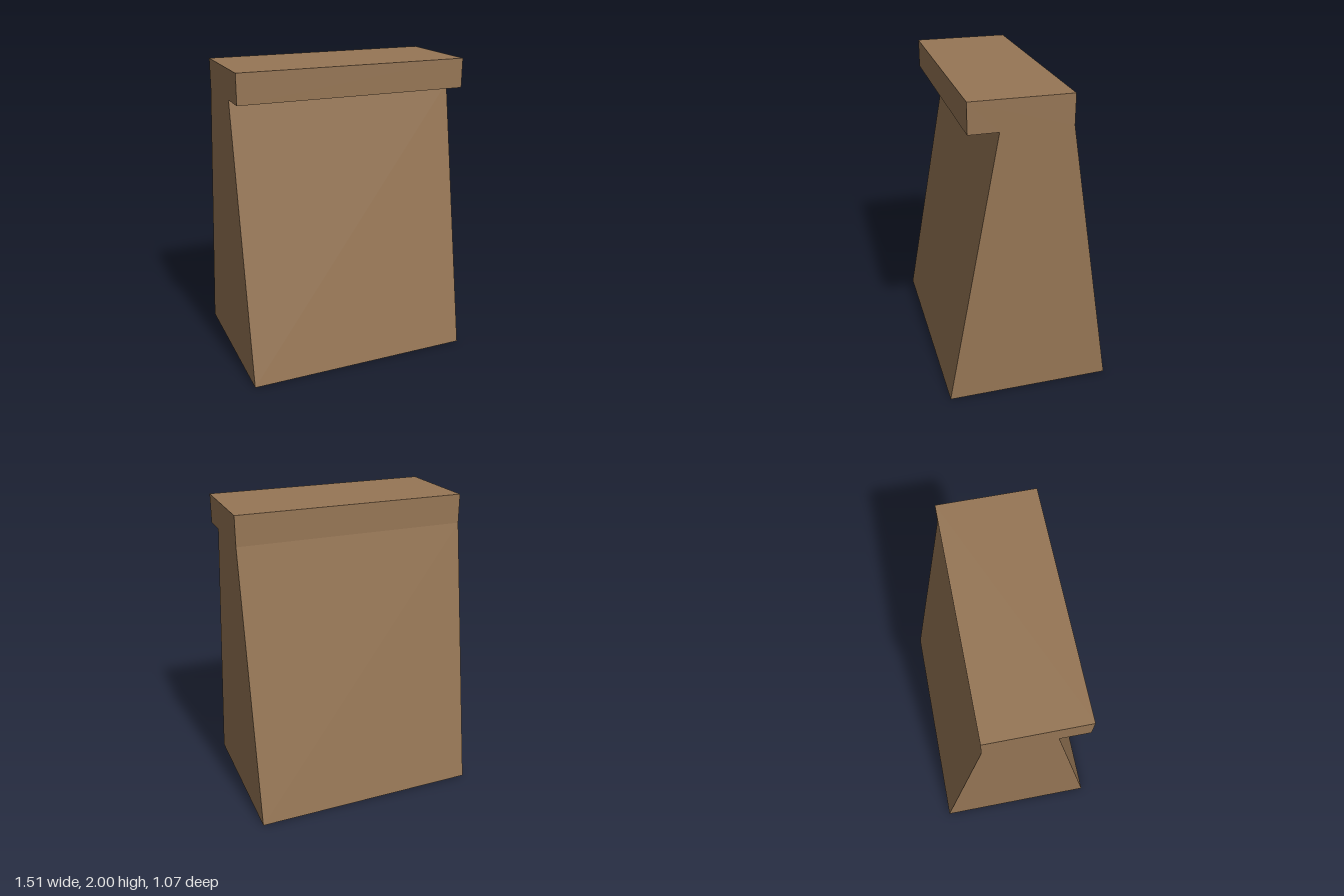
import * as THREE from 'three';

const HALF_WIDTH = 0.755;

// Side profile as [z, y], from the front hem over the folded top to the back hem
const PROFILE = [
  [0.535, 0], [0.205, 1.81], [0.39, 1.81], [0.39, 2],
  [-0.24, 2], [-0.24, 1.81], [-0.535, 0],
];
const PANEL_NAMES = ['frontPanel', 'foldUnderside', 'foldFront', 'topPanel', 'backUpperPanel', 'backPanel'];

// Flat panel spanning the full width between two profile points
function panelGeometry([z0, y0], [z1, y1]) {
  const w = HALF_WIDTH;
  const geometry = new THREE.BufferGeometry();
  geometry.setAttribute('position', new THREE.Float32BufferAttribute(
    [-w, y0, z0, w, y0, z0, w, y1, z1, -w, y1, z1], 3));
  geometry.setIndex([0, 1, 2, 0, 2, 3]);
  geometry.computeVertexNormals();
  return geometry;
}

// Side wall cut to the profile, facing outward on the given side (+1 or -1)
function sideGeometry(side) {
  const shape = new THREE.Shape(PROFILE.map(([z, y]) => new THREE.Vector2(-side * z, y)));
  return new THREE.ShapeGeometry(shape)
    .rotateY(side * Math.PI / 2)
    .translate(side * HALF_WIDTH, 0, 0);
}

export function createModel() {
  const paper = new THREE.MeshStandardMaterial({ color: 0x967655, side: THREE.DoubleSide });
  paper.name = 'brown paper';

  const bag = new THREE.Group();
  bag.name = 'paperBag';
  const add = (name, geometry) => {
    const mesh = new THREE.Mesh(geometry, paper);
    mesh.name = name;
    bag.add(mesh);
  };

  // Front, folded top and back; the bottom stays open
  PANEL_NAMES.forEach((name, i) => add(name, panelGeometry(PROFILE[i], PROFILE[i + 1])));

  // Side walls
  add('leftSide', sideGeometry(1));
  add('rightSide', sideGeometry(-1));

  return bag;
}
